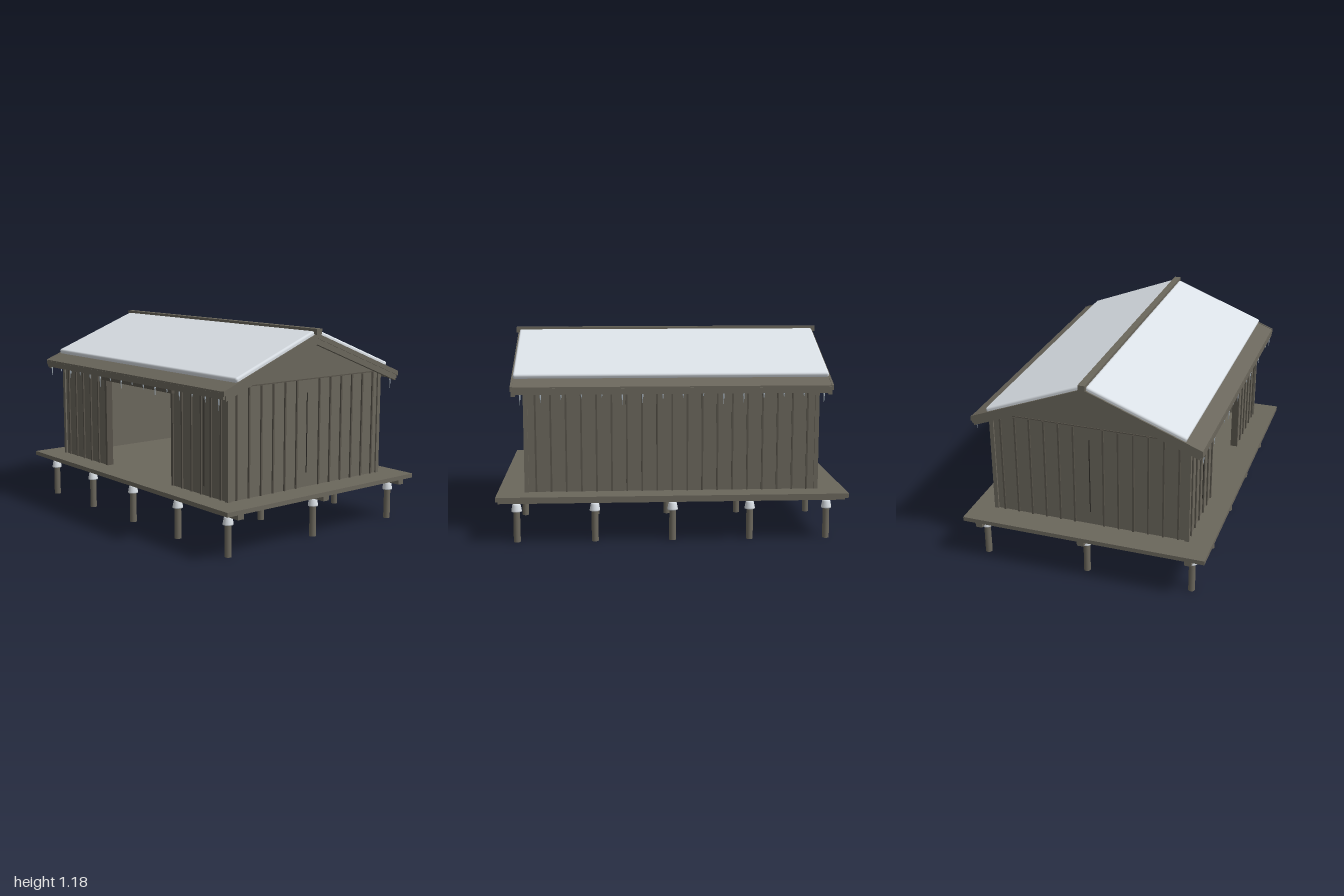
import * as THREE from 'three';
import { RoundedBoxGeometry } from 'three/addons/geometries/RoundedBoxGeometry.js';

const SLOPE = 0.39;
const PITCH = Math.atan(SLOPE);

export function createModel() {
  const model = new THREE.Group();
  model.name = 'woodenShed';

  const material = (name, color) => {
    const m = new THREE.MeshStandardMaterial({ color });
    m.name = name;
    return m;
  };
  const wood = material('weatheredWood', 0x6b675c);
  const darkWood = material('darkWood', 0x57534a);
  const crackDark = material('crackShadow', 0x2e2c28);
  const snow = material('snow', 0xe0e6ec);
  const ice = material('ice', 0xb4c0ca);

  const group = (name) => {
    const g = new THREE.Group();
    g.name = name;
    model.add(g);
    return g;
  };
  const add = (parent, name, geometry, mat, x = 0, y = 0, z = 0) => {
    const mesh = new THREE.Mesh(geometry, mat);
    mesh.name = name;
    mesh.position.set(x, y, z);
    parent.add(mesh);
    return mesh;
  };
  // Box given by its limits on each axis
  const block = (parent, name, mat, x0, x1, y0, y1, z0, z1) =>
    add(parent, name, new THREE.BoxGeometry(x1 - x0, y1 - y0, z1 - z0), mat,
      (x0 + x1) / 2, (y0 + y1) / 2, (z0 + z1) / 2);
  // Profile of [z, y] points extended along x
  const along = (parent, name, mat, points, x0, x1) => {
    const shape = new THREE.Shape(points.map(([z, y]) => new THREE.Vector2(-z, y)));
    const geo = new THREE.ExtrudeGeometry(shape, { depth: x1 - x0, bevelEnabled: false });
    geo.rotateY(Math.PI / 2);
    return add(parent, name, geo, mat, x0, 0, 0);
  };
  // Inverted V following the roof slope
  const chevron = (parent, name, mat, reach, apex, thick, x0, x1) => {
    const eave = apex - SLOPE * reach;
    return along(parent, name, mat, [
      [reach, eave], [0, apex], [-reach, eave],
      [-reach, eave - thick], [0, apex - thick], [reach, eave - thick],
    ], x0, x1);
  };

  // Deck, its beams, and the stilts with snow collars
  const base = group('platform');
  block(base, 'deck', wood, -1, 1, 0.255, 0.28, -0.72, 0.72);
  const post = new THREE.CylinderGeometry(0.019, 0.02, 0.232, 12);
  const collar = new THREE.LatheGeometry([
    [0.019, 0.178], [0.03, 0.178], [0.03, 0.184], [0.024, 0.216], [0.019, 0.226], [0.001, 0.226],
  ].map(([r, y]) => new THREE.Vector2(r, y)), 12);
  for (const z of [-0.625, 0, 0.625]) {
    block(base, 'deckBeam', wood, -0.995, 0.995, 0.226, 0.256, z - 0.02, z + 0.02);
    for (let i = -2; i <= 2; i++) {
      add(base, 'stilt', post, wood, i * 0.445, 0.116, z);
      add(base, 'stiltSnowCollar', collar, snow, i * 0.445, 0, z);
    }
  }

  // Walls: gabled ends, closed back, front with a wide doorway
  const walls = group('walls');
  for (const s of [-1, 1]) {
    along(walls, 'gableEndWall', wood,
      [[0.58, 0.28], [0.58, 0.903], [0, 1.129], [-0.58, 0.903], [-0.58, 0.28]],
      s * 0.82 - 0.015, s * 0.82 + 0.015);
    block(walls, 'frontWallPanel', wood, s * 0.5825 - 0.2375, s * 0.5825 + 0.2375, 0.28, 0.902, 0.55, 0.58);
    block(walls, 'doorJamb', darkWood, s * 0.342 - 0.009, s * 0.342 + 0.009, 0.28, 0.83, 0.545, 0.587);
    block(walls, 'gableTrim', darkWood, s * 0.835 - 0.004, s * 0.835 + 0.004, 0.894, 0.9, -0.58, 0.58);
    for (const t of [-1, 1]) {
      block(walls, 'cornerPost', wood, s * 0.833 - 0.012, s * 0.833 + 0.012,
        0.28, 0.895, t * 0.578 - 0.012, t * 0.578 + 0.012);
    }
  }
  block(walls, 'backWall', wood, -0.82, 0.82, 0.28, 0.902, -0.58, -0.55);
  block(walls, 'doorHeader', wood, -0.345, 0.345, 0.83, 0.902, 0.55, 0.58);
  block(walls, 'doorRail', darkWood, -0.36, 0.36, 0.815, 0.838, 0.58, 0.6);

  // Battens over the board joints
  const battens = group('battens');
  const W = 0.005;
  for (let i = -9; i <= 9; i++) {
    const x = i * 0.0865;
    block(battens, 'backBatten', darkWood, x - W, x + W, 0.28, 0.9, -0.588, -0.579);
    if (Math.abs(x) > 0.36) {
      block(battens, 'frontBatten', darkWood, x - W, x + W, 0.28, 0.9, 0.579, 0.588);
    }
    if (Math.abs(i) > 6) continue;
    const z = i * 0.0875;
    for (const s of [-1, 1]) {
      if (i !== 0) {
        block(battens, 'endBatten', darkWood, s * 0.839 - W, s * 0.839 + W, 0.28, 0.894, z - W, z + W);
      }
    }
  }

  // Cracks in the boards
  const cracks = group('cracks');
  block(cracks, 'boardCrack', crackDark, -0.532, -0.527, 0.38, 0.82, 0.578, 0.583);
  block(cracks, 'boardCrack', crackDark, 0.627, 0.632, 0.33, 0.82, 0.578, 0.583);
  for (const s of [-1, 1]) {
    block(cracks, 'boardCrack', crackDark, s * 0.835 - 0.003, s * 0.835 + 0.003, 0.36, 0.82, 0.003, 0.008);
  }

  // Roof boards, bargeboards, fascias and ridge
  const roof = group('roof');
  chevron(roof, 'roofBoards', wood, 0.668, 1.155, 0.026, -0.9, 0.9);
  for (const s of [-1, 1]) {
    chevron(roof, 'bargeboard', wood, 0.655, 1.132, 0.036, s * 0.893 - 0.012, s * 0.893 + 0.012);
    chevron(roof, 'roofEdgeTrim', wood, 0.67, 1.158, 0.028, s * 0.903 - 0.006, s * 0.903 + 0.006);
    block(roof, 'fascia', wood, -0.9, 0.9, 0.852, 0.886, s * 0.661 - 0.008, s * 0.661 + 0.008);
  }
  block(roof, 'ridgeBeam', wood, -0.92, 0.92, 1.152, 1.185, -0.02, 0.02);

  // Snow blankets on both slopes
  const snowGeo = new RoundedBoxGeometry(1.8, 0.034, 0.605, 3, 0.013);
  for (const s of [-1, 1]) {
    const z = 0.295;
    const blanket = add(roof, 'snowBlanket', snowGeo, snow, 0, 1.164 - SLOPE * z, s * z);
    blanket.rotation.x = s * PITCH;
  }

  // Icicles hanging from both eaves
  const icicles = group('icicles');
  const lengths = [0.07, 0.03, 0.06, 0.025, 0.04];
  for (const s of [-1, 1]) {
    for (let i = 0; i < 16; i++) {
      const len = lengths[(i * (s > 0 ? 1 : 3)) % 5];
      const cone = new THREE.ConeGeometry(0.006, len, 6);
      cone.rotateX(Math.PI);
      add(icicles, 'icicle', cone, ice, -0.855 + i * 0.114, 0.856 - len / 2, s * 0.661);
    }
  }

  return model;
}
